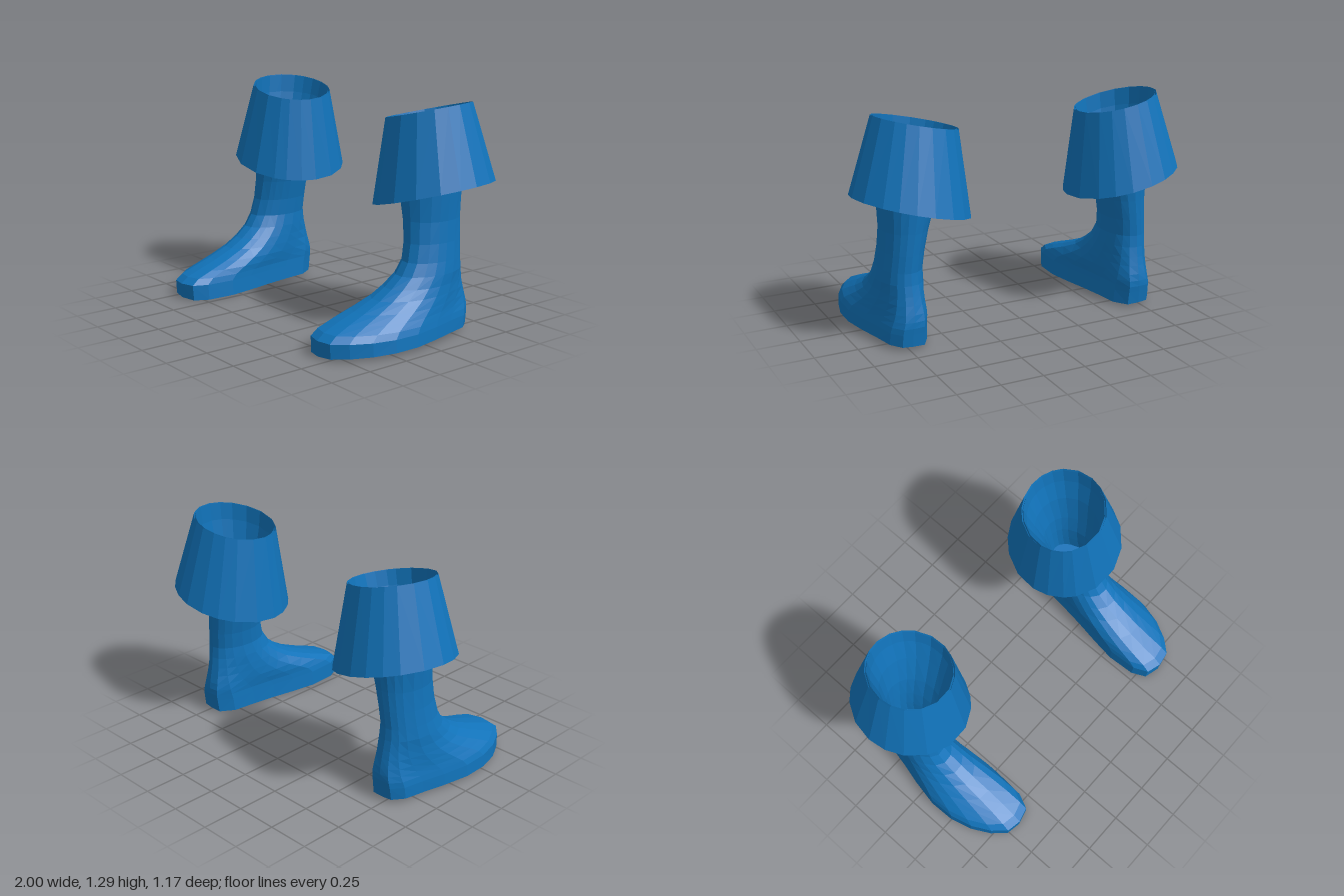
import * as THREE from 'three';

// Footprint of the left boot, from the toe round by the outer side (x, z)
const SOLE = [
  [0.67, 0.58], [0.76, 0.565], [0.83, 0.49], [0.89, 0.38], [0.925, 0.25], [0.93, 0.1],
  [0.9, -0.06], [0.865, -0.2], [0.84, -0.32], [0.79, -0.385], [0.73, -0.39], [0.66, -0.385],
  [0.61, -0.3], [0.595, -0.15], [0.575, 0], [0.55, 0.15], [0.53, 0.3], [0.54, 0.47], [0.58, 0.555],
].map(([x, z]) => [(x - 0.73) / 0.2, (z - 0.095) / 0.485]);

// One level: height, back, front, inner and outer extent, footprint share, sideways tilt, backward tilt
function ring([y, back, front, inner, outer, foot = 0, tiltX = 0, tiltZ = 0]) {
  const cx = (inner + outer) / 2, cz = (back + front) / 2;
  return SOLE.map(([u, v]) => {
    const r = Math.hypot(u, v);
    const dx = THREE.MathUtils.lerp(u / r, u, foot) * (outer - inner) / 2;
    const dz = THREE.MathUtils.lerp(v / r, v, foot) * (front - back) / 2;
    return [cx + dx, y + tiltX * dx + tiltZ * dz, cz + dz];
  });
}

// Skin a list of levels; side = -1 mirrors the part
function loft(name, levels, side, material) {
  const n = SOLE.length, positions = [], index = [];
  for (const level of levels)
    for (const [x, y, z] of ring(level)) positions.push(side * x, y, z);
  for (let i = 0; i < levels.length - 1; i++)
    for (let j = 0; j < n; j++) {
      const a = i * n + j, b = i * n + (j + 1) % n, c = a + n, d = b + n;
      if (side > 0) index.push(a, b, d, a, d, c);
      else index.push(a, d, b, a, c, d);
    }
  const indexed = new THREE.BufferGeometry();
  indexed.setAttribute('position', new THREE.Float32BufferAttribute(positions, 3));
  indexed.setIndex(index);
  const geometry = indexed.toNonIndexed();
  geometry.computeVertexNormals();
  const mesh = new THREE.Mesh(geometry, material);
  mesh.name = name;
  return mesh;
}

const inset = ([y, back, front, inner, outer, ...rest], t) =>
  [y, back + t, front - t, inner + t, outer - t, ...rest];

// Foot levels, starting from the middle of the closed sole
const FOOT = [
  [0.01, 0.09, 0.09, 0.73, 0.73],
  [0.01, -0.39, 0.58, 0.53, 0.93, 1, 0.05, -0.01],
  [0.09, -0.4, 0.585, 0.535, 0.925, 1],
  [0.125, -0.405, 0.54, 0.54, 0.915, 1],
  [0.16, -0.405, 0.45, 0.545, 0.9, 0.9],
  [0.2, -0.4, 0.34, 0.555, 0.885, 0.7],
  [0.25, -0.39, 0.22, 0.57, 0.87, 0.45],
  [0.3, -0.38, 0.135, 0.58, 0.86, 0.3],
  [0.36, -0.37, 0.06, 0.59, 0.855, 0.1],
];
// Leg levels, flaring up to the rim
const LEG = [
  [0.43, -0.365, 0.015, 0.6, 0.845],
  [0.53, -0.37, -0.01, 0.59, 0.835],
  [0.65, -0.375, -0.02, 0.565, 0.83],
  [0.8, -0.385, -0.02, 0.52, 0.84],
  [1.0, -0.42, -0.01, 0.45, 0.85, 0, 0.1, -0.03],
];
const RIM = [1.235, -0.47, 0.01, 0.39, 0.865, 0, 0.22, -0.06];
const HEM = [0.777, -0.585, 0.105, 0.335, 1.0, 0, 0.25, -0.06];

export function createModel() {
  const blue = new THREE.MeshStandardMaterial({ color: 0x1173ba });
  blue.name = 'blue leather';
  blue.flatShading = true;
  blue.side = THREE.DoubleSide;

  const model = new THREE.Group();
  model.name = 'pairOfBoots';
  for (const side of [1, -1]) {
    const boot = new THREE.Group();
    boot.name = side > 0 ? 'leftBoot' : 'rightBoot';
    boot.add(
      loft('footAndShaft', [...FOOT, ...LEG, inset(RIM, 0.01)], side, blue),
      // Folded-over cuff: inside, hem, outside
      loft('cuff', [inset(RIM, 0.01), inset(HEM, 0.02), HEM, RIM], side, blue),
      // Inside of the leg, closed by an insole
      loft('lining', [RIM, ...[...LEG].reverse().map((l) => inset(l, 0.015)),
        [0.43, -0.18, -0.18, 0.72, 0.72]], side, blue),
    );
    model.add(boot);
  }
  return model;
}
